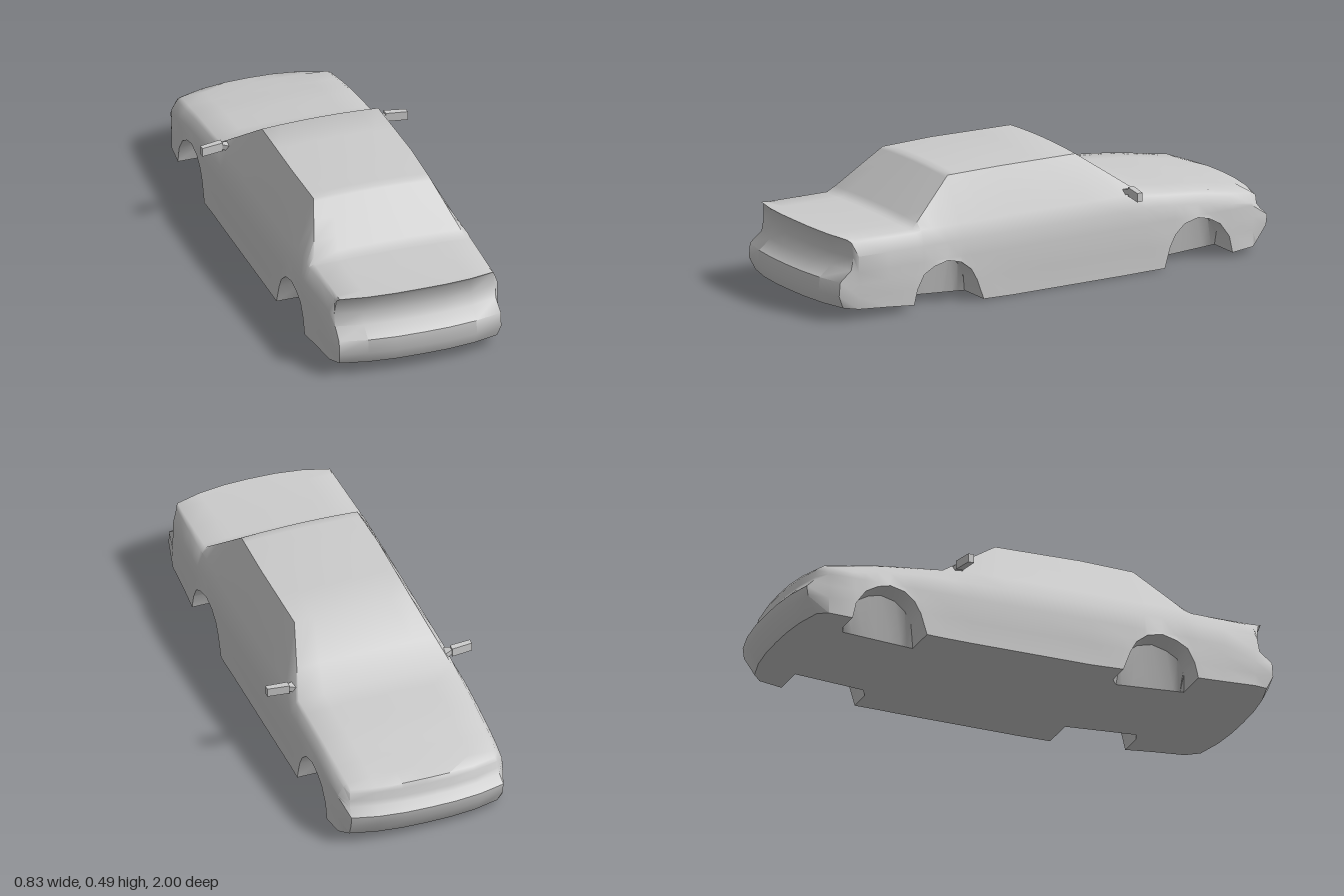
import * as THREE from 'three';
import { toCreasedNormals, mergeVertices } from 'three/addons/utils/BufferGeometryUtils.js';

const grey = new THREE.MeshStandardMaterial({ color: 0xcccccc, side: THREE.DoubleSide });

// Keyframes along the car, nose to tail: [z, value, ...]
const ROOF_EDGE = [[-0.87, 0.295, 0.24], [-0.66, 0.305, 0.276], [-0.4, 0.312, 0.302], [-0.15, 0.235, 0.478],
  [0.2, 0.24, 0.482], [0.42, 0.235, 0.478], [0.62, 0.305, 0.312], [0.86, 0.308, 0.312]];
const HALF_WIDTH = [[-0.88, 0.333], [-0.78, 0.34], [-0.4, 0.346], [0.35, 0.349], [0.64, 0.349], [0.88, 0.34]];
const FLOOR = [[-0.87, 0.025], [-0.78, 0.018], [-0.48, 0.002], [-0.3, 0], [0.2, 0], [0.33, 0.004], [0.64, 0.025], [0.87, 0.042]];
const ARCHES = [
  [[-0.785, 0.018], [-0.77, 0.085], [-0.73, 0.14], [-0.68, 0.168], [-0.63, 0.18], [-0.57, 0.165], [-0.53, 0.13], [-0.505, 0.085], [-0.48, 0.002]],
  [[0.33, 0.004], [0.36, 0.085], [0.385, 0.13], [0.43, 0.165], [0.49, 0.18], [0.55, 0.165], [0.595, 0.14], [0.625, 0.085], [0.64, 0.025]],
];
// End profiles from top to bottom: [half width, y, z at the centre]
const NOSE = [[0.292, 0.225, -0.945], [0.297, 0.215, -0.955], [0.3, 0.183, -0.958], [0.303, 0.165, -0.97],
  [0.308, 0.135, -1], [0.308, 0.095, -0.995], [0.3, 0.03, -0.955]];
const TAIL = [[0.31, 0.314, 0.955], [0.318, 0.302, 0.94], [0.325, 0.245, 0.935], [0.325, 0.195, 0.945],
  [0.327, 0.155, 0.995], [0.327, 0.1, 1], [0.318, 0.05, 0.977]];
const COLUMNS = [0, 0.33, 0.67];
const CROWN = 0.008;

// Linear lookup in a keyframe table
function at(table, z, k = 1) {
  if (z <= table[0][0]) return table[0][k];
  for (let i = 1; i < table.length; i++) {
    const [a, b] = [table[i - 1], table[i]];
    if (z <= b[0]) return a[k] + (b[k] - a[k]) * (z - a[0]) / (b[0] - a[0]);
  }
  return table[table.length - 1][k];
}

// Close a half outline by mirroring it across x = 0
const closeRing = half => [...half, ...half.slice(0, -1).reverse().map(([x, y, z]) => [-x, y, z])];

// Cross-section of the body at z, from the top centre down to the floor centre
function section(z) {
  const tx = at(ROOF_EDGE, z), ty = at(ROOF_EDGE, z, 2), w = at(HALF_WIDTH, z), floor = at(FLOOR, z);
  const arch = ARCHES.find(a => z >= a[0][0] && z <= a[a.length - 1][0]);
  const low = arch ? Math.max(floor, at(arch, z)) : floor;
  const flare = arch ? 0.003 : 0;
  const side = [[tx, ty], [w - 0.022, Math.min(0.308, ty - 0.01)], [w, Math.min(0.25, ty - 0.045)],
    [w, 0.187], [w + 0.003, 0.14], [w + flare, 0.09], [w + flare, floor]]
    .map(([x, y]) => [x, Math.max(y, low), z]);
  return closeRing([
    ...COLUMNS.map(u => [u * tx, ty + CROWN * (1 - u * u), z]),
    ...side, [0.25, low, z], [0.21, floor, z], [0, floor, z],
  ]);
}

// Point on a bowed end panel, u = -1..1 across
function endPoint([w, y, z], u, isTop) {
  return [u * w, y + (isTop ? CROWN * (1 - u * u) : 0), z - Math.sign(z) * 0.04 * Math.abs(u) ** 2.6];
}

function endRing(profile) {
  const last = profile[profile.length - 1];
  return closeRing([
    ...COLUMNS.map(u => endPoint(profile[0], u, true)),
    ...profile.map(p => endPoint(p, 1)),
    ...[...COLUMNS].reverse().map(u => endPoint(last, u)),
  ]);
}

function endPanel(profile, flip) {
  const us = [-1, -0.67, -0.33, 0, 0.33, 0.67, 1];
  if (flip) us.reverse();
  return profile.map((p, i) => us.map(u => endPoint(p, u, i === 0)));
}

// Triangles between neighbouring rows of points
function addGrid(out, rows) {
  const key = p => p.map(v => v.toFixed(5)).join();
  const tri = (...t) => { if (new Set(t.map(key)).size === 3) t.forEach(p => out.push(...p)); };
  for (let i = 0; i < rows.length - 1; i++) {
    for (let j = 0; j < rows[i].length - 1; j++) {
      const a = rows[i][j], b = rows[i][j + 1], c = rows[i + 1][j], d = rows[i + 1][j + 1];
      tri(a, c, b);
      tri(b, c, d);
    }
  }
}

function makeBody() {
  const zs = [-0.88, ...ARCHES[0].map(p => p[0]), -0.4, -0.3, -0.15, 0.02, 0.2,
    ...ARCHES[1].map(p => p[0]), 0.42, 0.62, 0.75, 0.88].sort((a, b) => a - b);
  const pos = [];
  addGrid(pos, [endRing(NOSE), ...zs.map(section), endRing(TAIL)]);
  addGrid(pos, endPanel(NOSE, true));
  addGrid(pos, endPanel(TAIL, false));
  const geo = new THREE.BufferGeometry();
  geo.setAttribute('position', new THREE.Float32BufferAttribute(pos, 3));
  const body = new THREE.Mesh(toCreasedNormals(geo, 0.8), grey);
  body.name = 'body';
  return body;
}

// Box whose inner end (x0) and outer end (x1) each have their own y and z range
function taperedBox(inner, outer) {
  const geo = new THREE.BoxGeometry(1, 1, 1);
  const p = geo.attributes.position;
  for (let i = 0; i < p.count; i++) {
    const [x, y0, y1, z0, z1] = p.getX(i) > 0 ? outer : inner;
    p.setXYZ(i, x, p.getY(i) > 0 ? y1 : y0, p.getZ(i) > 0 ? z1 : z0);
  }
  geo.computeVertexNormals();
  return geo;
}

function makeMirror(name, side) {
  const group = new THREE.Group();
  group.name = name;
  const parts = {
    mirrorHousing: [[0.33, 0.307, 0.342, -0.352, -0.325], [0.415, 0.304, 0.339, -0.338, -0.315]],
    mirrorArm: [[0.3, 0.303, 0.328, -0.355, -0.31], [0.335, 0.315, 0.335, -0.345, -0.328]],
  };
  for (const [part, [inner, outer]] of Object.entries(parts)) {
    // mirrored ends are swapped so the faces keep pointing outward
    const flip = ([x, ...rest]) => [-x, ...rest];
    const geo = side > 0 ? taperedBox(inner, outer) : taperedBox(flip(outer), flip(inner));
    const mesh = new THREE.Mesh(geo, grey);
    mesh.name = part;
    group.add(mesh);
  }
  return group;
}

export function createModel() {
  const car = new THREE.Group();
  car.name = 'saloonCarShell';
  car.add(makeBody(), makeMirror('leftMirror', 1), makeMirror('rightMirror', -1));
  return car;
}
